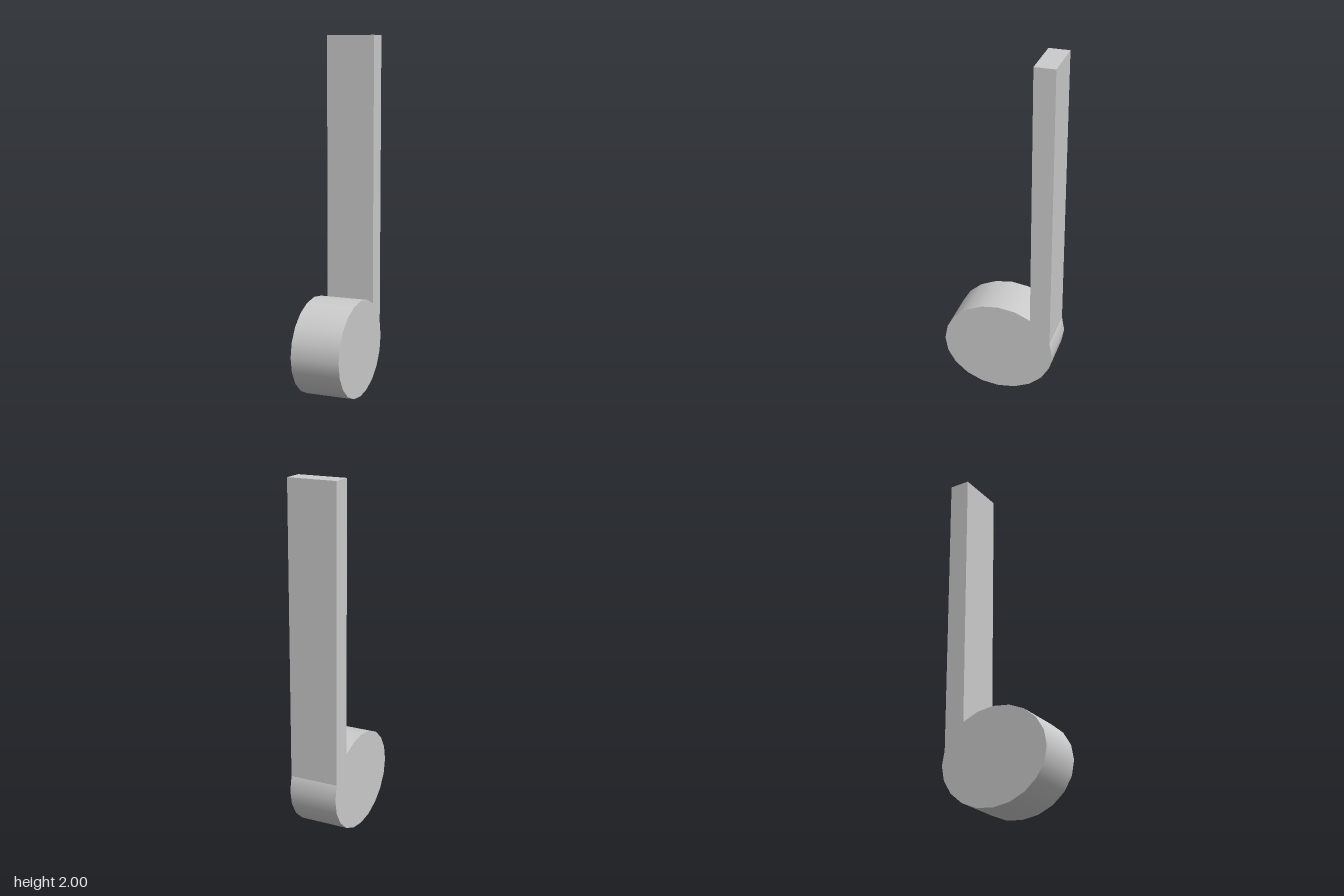
import * as THREE from 'three';

const WIDTH = 0.28;      // thickness along x
const RY = 0.273;        // half height of the oval head
const RZ = 0.32;         // half depth of the oval head
const SIDES = 20;

// Corner k of the head outline, counted from the rear point upwards
function headCorner(k) {
  const a = (k * Math.PI * 2) / SIDES;
  return new THREE.Vector2(-RZ * Math.cos(a), RY + RY * Math.sin(a));
}

export function createModel() {
  const group = new THREE.Group();
  group.name = 'musicalNote';
  const material = new THREE.MeshStandardMaterial({ color: 0xcccccc });

  // Oval head: a drum lying along x, squashed in height
  const headGeometry = new THREE.CylinderGeometry(1, 1, WIDTH, SIDES);
  headGeometry.rotateZ(Math.PI / 2);
  headGeometry.scale(1, RY, RZ);
  headGeometry.translate(0, RY, 0);
  const head = new THREE.Mesh(headGeometry, material);
  head.name = 'noteHead';

  // Upright stem, its foot following two facets at the upper rear of the head
  const foot = [1, 2, 3].map(headCorner);
  const outline = new THREE.Shape([
    ...foot,
    new THREE.Vector2(foot[2].x, 2),
    new THREE.Vector2(foot[0].x, 2),
  ]);
  const stemGeometry = new THREE.ExtrudeGeometry(outline, { depth: WIDTH, bevelEnabled: false });
  stemGeometry.translate(0, 0, -WIDTH / 2);
  stemGeometry.rotateY(-Math.PI / 2);   // outline x becomes z
  const stem = new THREE.Mesh(stemGeometry, material);
  stem.name = 'noteStem';

  group.add(head, stem);
  return group;
}
